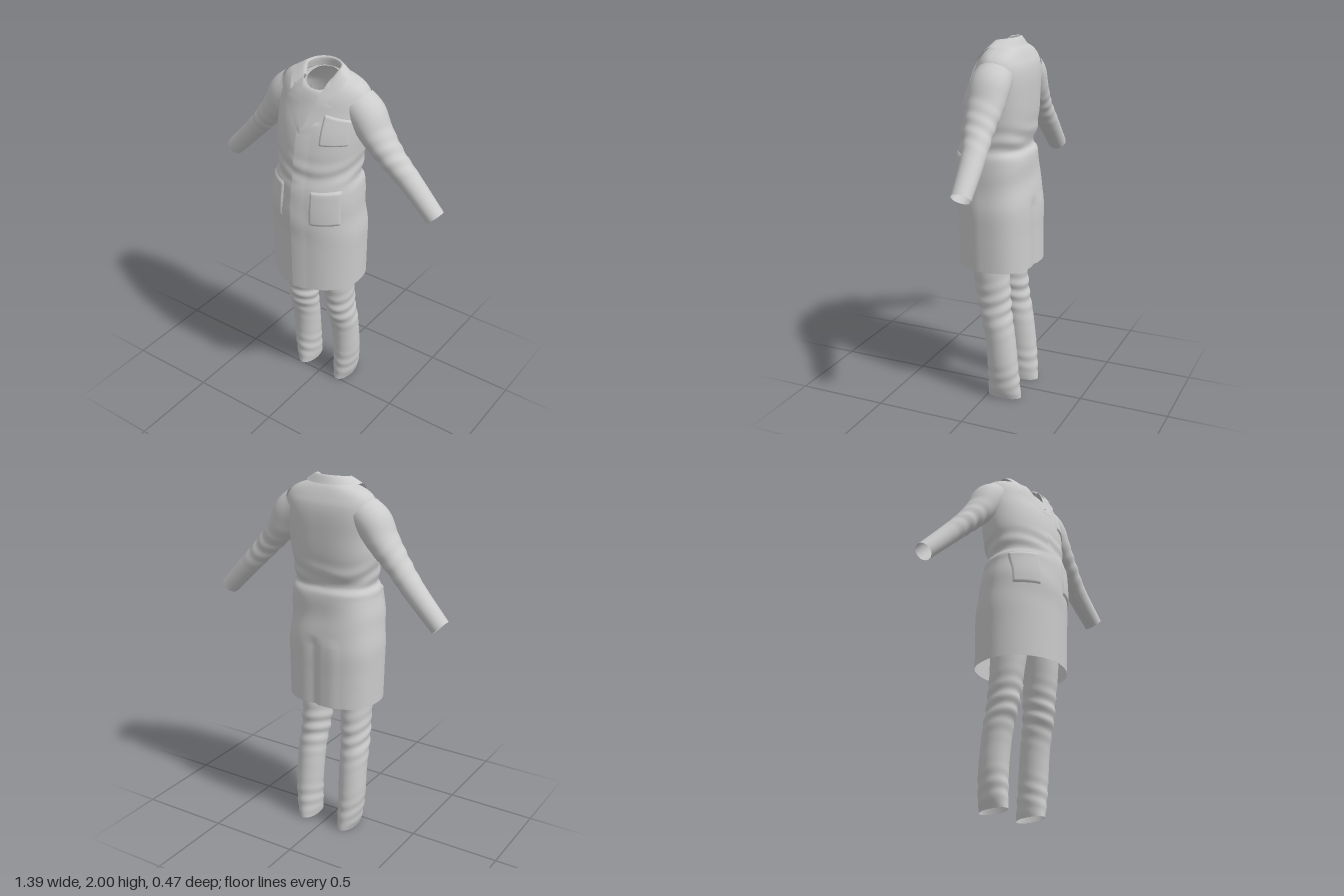
import * as THREE from 'three';
import { mergeVertices } from 'three/addons/utils/BufferGeometryUtils.js';

const { sin, cos, abs, sign, max, min, PI } = Math;
const material = new THREE.MeshStandardMaterial({ color: 0xcccccc, side: THREE.DoubleSide });

// Smooth lookup in a table whose rows are [key, ...values], sorted by key
function sample(rows, k) {
  let i = 0;
  while (i < rows.length - 2 && k > rows[i + 1][0]) i++;
  const a = rows[max(i - 1, 0)], b = rows[i], c = rows[i + 1], d = rows[min(i + 2, rows.length - 1)];
  const h = c[0] - b[0], t = min(max((k - b[0]) / h, 0), 1), t2 = t * t, t3 = t2 * t;
  return b.slice(1).map((_, j) => {
    const n = j + 1;
    const mb = (c[n] - a[n]) / (c[0] - a[0]) * h, mc = (d[n] - b[n]) / (d[0] - b[0]) * h;
    return (2 * t3 - 3 * t2 + 1) * b[n] + (t3 - 2 * t2 + t) * mb + (3 * t2 - 2 * t3) * c[n] + (t3 - t2) * mc;
  });
}

// Surface from a rule point(u, v) with u and v in 0..1
function surface(name, nu, nv, point) {
  const pos = [], idx = [];
  for (let j = 0; j <= nv; j++) for (let i = 0; i <= nu; i++) pos.push(...point(i / nu, j / nv));
  for (let j = 0; j < nv; j++) for (let i = 0; i < nu; i++) {
    const a = j * (nu + 1) + i, c = a + nu + 1;
    idx.push(a, a + 1, c, a + 1, c + 1, c);
  }
  let g = new THREE.BufferGeometry();
  g.setAttribute('position', new THREE.Float32BufferAttribute(pos, 3));
  g.setIndex(idx);
  g = mergeVertices(g, 1e-5);
  g.computeVertexNormals();
  const mesh = new THREE.Mesh(g, material);
  mesh.name = name;
  return mesh;
}

const bell = (x, c, w) => Math.exp(-(((x - c) / w) ** 2));

// Coat cross-sections: y, centre x, half width, front z, back z
const BODY = [
  [0.77, -0.01, 0.258, 0.215, -0.225], [0.95, -0.01, 0.262, 0.218, -0.222],
  [1.1, -0.01, 0.264, 0.222, -0.22], [1.25, -0.008, 0.252, 0.228, -0.2],
  [1.36, 0, 0.242, 0.218, -0.192], [1.395, 0, 0.238, 0.212, -0.185],
  [1.425, 0.005, 0.226, 0.203, -0.165], [1.48, 0, 0.228, 0.198, -0.18],
  [1.6, -0.003, 0.244, 0.182, -0.192], [1.7, 0, 0.25, 0.158, -0.195],
  [1.8, 0, 0.255, 0.115, -0.194], [1.86, 0, 0.252, 0.09, -0.185],
  [1.9, 0, 0.235, 0.066, -0.168], [1.93, 0, 0.195, 0.045, -0.152],
  [1.95, 0, 0.14, 0.025, -0.138], [1.965, 0, 0.1, 0.01, -0.12],
];
const FRONT = 1.9, BACK = 2.7; // roundness of the front and back halves

// Point on the torso at angle t (0 = front, towards +x), pushed out by off
function torso(t, y, off = 0) {
  const [cx, w, zf, zb] = sample(BODY, y), s = sin(t), c = cos(t);
  const zc = (zf + zb) / 2, d = (zf - zb) / 2, e = 2 / (c > 0 ? FRONT : BACK);
  return [cx + (w + off) * sign(s) * abs(s) ** e, y, zc + (d + off) * sign(c) * abs(c) ** e];
}
// Angle at which the front of the torso reaches a given x
function frontAngle(x, y) {
  const [cx, w] = sample(BODY, y), q = max(-1, min(1, (x - cx) / w));
  return sign(q) * Math.asin(abs(q) ** (FRONT / 2));
}
const frontPoint = (x, y, off) => torso(frontAngle(x, y), y, off);

const V = 1.69; // bottom of the neck opening
const opening = y => 0.3 * (y - V);

// Coat: wrapped over at the front, open in a V, with a vent at the back
function coat() {
  return surface('coat', 128, 130, (u, v) => {
    const y = 0.77 + v * 1.195;
    const a = frontAngle(y < V ? -0.02 : max(opening(y) - 0.02 * bell(y, V, 0.03), -0.02), y);
    const b = 2 * PI + frontAngle(y < V ? 0.005 : -opening(y), y);
    const t = a + u * (b - a);
    let off = 0.004 * sin(y * 62 + 2.5 * sin(2 * t + 0.6)) * bell(y, 1.48, 0.07);
    off += 0.002 * sin(y * 28 + 3 * sin(t)) * bell(y, 1.25, 0.15);
    if (y < 1.75) off += 0.012 * max(0, 1 - (t - a) / 0.35);
    const vent = min(1, max(0, (1.16 - y) / 0.05));
    off -= 0.01 * bell(t, PI, 0.15) * vent;
    if (t > PI) off += 0.012 * vent * max(0, 1 - (t - PI) / 0.4);
    return torso(t, y, off);
  });
}

// Shirt: follows the coat inside and closes in to a round neckline
function shirt() {
  return surface('shirt', 64, 40, (u, v) => {
    const t = u * 2 * PI, k = max(0, (v - 0.8) / 0.2);
    const p = torso(t, 1.1 + min(v / 0.8, 1) * 0.74, -0.02);
    const neck = [0.087 * sin(t), 1.92 - 0.035 * cos(t), -0.027 + 0.075 * cos(t)];
    return p.map((q, i) => q + (neck[i] - q) * (i === 1 ? sin(k * PI / 2) : k));
  });
}

// Collar: a stand that folds over and falls on the shoulders
function collar() {
  return surface('collar', 64, 12, (u, v) => {
    const t = 0.85 + u * (2 * PI - 1.7), s = sin(t), c = cos(t), f = max(0, c) ** 1.3;
    const rows = [
      [0, 0.1 * s, 1.945 - 0.06 * f, -0.028 + 0.085 * c],
      [0.4, 0.09 * s, 1.985 - 0.012 * c - 0.07 * f, -0.033 + 0.077 * c],
      [0.5, 0.1 * s, 1.99 - 0.01 * c - 0.075 * f, -0.032 + 0.087 * c],
      [1, 0.158 * s, 1.957 - 0.15 * f, -0.02 + (c > 0 ? 0.16 : 0.123) * c],
    ];
    return sample(rows, v);
  });
}

// Lapels: y, outer edge x; the step near the top is the notch
const LAPEL = [[1.69, 0.008], [1.74, 0.055], [1.79, 0.1], [1.835, 0.14], [1.85, 0.108], [1.9, 0.11]];
function lapel(s) {
  return surface(s > 0 ? 'leftLapel' : 'rightLapel', 12, 36, (u, v) => {
    const y = V + v * 0.21, inner = opening(y), outer = sample(LAPEL, y)[0];
    const x = inner + (s > 0 ? u : 1 - u) * (outer - inner);
    return frontPoint(s * x, y, 0.014 - 0.003 * (s > 0 ? u : 1 - u));
  });
}

// Pocket: raised patch whose rim meets the coat; slant lowers the outer side
function pocket(name, x0, x1, y0, y1, slant = 0) {
  const ease = q => min(1, min(q, 1 - q) * 16);
  return surface(name, 32, 32, (u, v) => {
    const x = x0 + u * (x1 - x0), y = y0 + v * (y1 - y0) - slant * u * v;
    return frontPoint(x, y, -0.002 + 0.01 * ease(u) * ease(v));
  });
}

// Sleeve sections: step, centre x, y, z, radius in the arm plane, radius in z
const SLEEVE = [
  [0, 0.19, 1.825, -0.062, 0.09, 0.1], [0.15, 0.25, 1.772, -0.06, 0.094, 0.106],
  [0.28, 0.302, 1.692, -0.06, 0.08, 0.1], [0.5, 0.402, 1.572, -0.067, 0.063, 0.078],
  [0.7, 0.5, 1.465, -0.083, 0.057, 0.064], [1, 0.657, 1.3, -0.09, 0.05, 0.053],
];
function sleeve(s) {
  return surface(s > 0 ? 'leftSleeve' : 'rightSleeve', 32, 60, (u, v) => {
    const t = s * u * 2 * PI, [x, y, z, rn, rz] = sample(SLEEVE, v);
    const a = sample(SLEEVE, max(v - 0.02, 0)), b = sample(SLEEVE, min(v + 0.02, 1));
    const l = Math.hypot(b[0] - a[0], b[1] - a[1]);
    const nx = (a[1] - b[1]) / l, ny = (b[0] - a[0]) / l;
    const fold = 1 + 0.035 * sin(v * 60 + 2 * sin(t)) * bell(v, 0.5, 0.16);
    const n = rn * fold * cos(t);
    return [s * (x + nx * n), y + ny * n, z + rz * fold * sin(t)];
  });
}

// Trouser leg sections: y, centre x, half width, front z, back z
const LEG = [
  [0, 0.124, 0.05, 0.005, -0.19], [0.05, 0.13, 0.062, 0.002, -0.186],
  [0.2, 0.137, 0.073, 0.003, -0.172], [0.35, 0.135, 0.076, 0.015, -0.155],
  [0.45, 0.133, 0.078, 0.035, -0.14], [0.52, 0.128, 0.077, 0.06, -0.128],
  [0.62, 0.123, 0.08, 0.076, -0.12], [0.77, 0.118, 0.087, 0.1, -0.11],
  [0.95, 0.105, 0.1, 0.12, -0.125],
];
function trouserLeg(s) {
  return surface(s > 0 ? 'leftTrouserLeg' : 'rightTrouserLeg', 40, 110, (u, v) => {
    const t = u * 2 * PI, y = v * 0.95, [cx, w, zf, zb] = sample(LEG, y);
    const amount = 0.05 * bell(y, 0.55, 0.12) + 0.03 * bell(y, 0.12, 0.08);
    const fold = 1 + amount * sin(y * 85 + 2.5 * sin(t + s) + s);
    return [s * cx + (s < 0 ? -0.008 : 0) + w * fold * sin(t), y,
      (zf + zb) / 2 + (zf - zb) / 2 * fold * cos(t)];
  });
}

// Seat of the trousers under the coat
function trouserSeat() {
  const rows = [[0.87, 0.06, 0.08], [0.92, 0.19, 0.13], [1.05, 0.21, 0.15], [1.2, 0.2, 0.15]];
  return surface('trouserSeat', 40, 16, (u, v) => {
    const t = u * 2 * PI, y = 0.87 + v * 0.33, [w, d] = sample(rows, y);
    return [w * sin(t), y, d * cos(t)];
  });
}

export function createModel() {
  const group = new THREE.Group();
  group.name = 'coatOutfit';
  group.add(coat(), shirt(), collar(), trouserSeat());
  for (const s of [1, -1]) group.add(lapel(s), sleeve(s), trouserLeg(s));
  group.add(
    pocket('leftHipPocket', 0.08, 0.215, 1.19, 1.395),
    pocket('rightHipPocket', -0.22, -0.085, 1.19, 1.395),
    pocket('chestPocket', 0.1, 0.225, 1.64, 1.8, 0.025),
  );
  return group;
}
